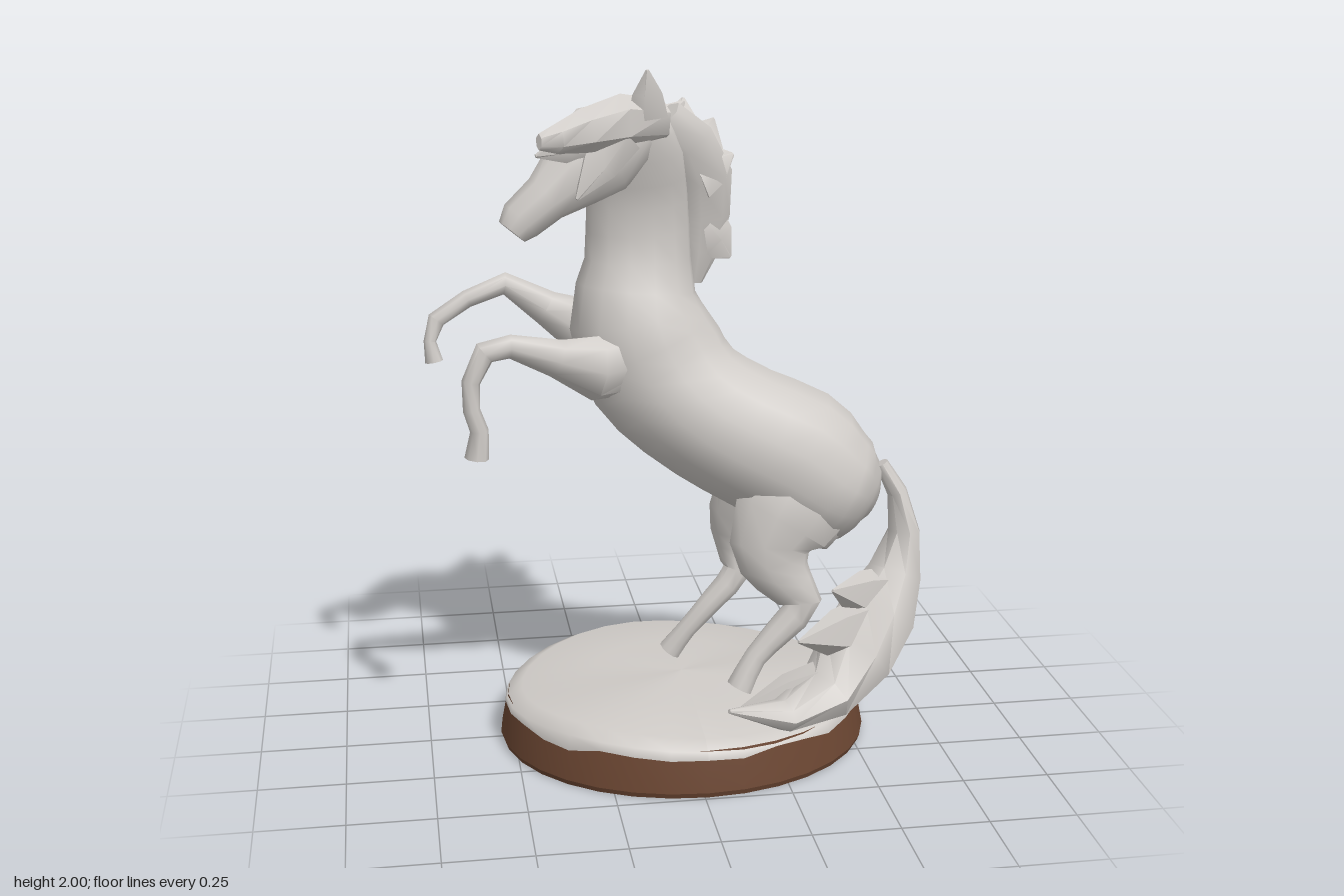
import * as THREE from 'three';
import { toCreasedNormals } from 'three/addons/utils/BufferGeometryUtils.js';

const stone = new THREE.MeshStandardMaterial({ color: 0xcfcbc7 });
stone.name = 'pale stone';
const earth = new THREE.MeshStandardMaterial({ color: 0x6b4632 });
earth.name = 'brown earth';

// Skin elliptical sections [x, y, z, profile radius, side radius] along a path
function loft(sections, sides, steps = 1) {
  const centres = new THREE.CatmullRomCurve3(sections.map((s) => new THREE.Vector3(s[0], s[1], s[2])));
  const radii = new THREE.CatmullRomCurve3(sections.map((s) => new THREE.Vector3(s[3], s[4] ?? s[3], 0)));
  const rings = (sections.length - 1) * steps;
  const pos = [], index = [];
  for (let i = 0; i <= rings; i++) {
    const c = centres.getPoint(i / rings), r = radii.getPoint(i / rings);
    const t = centres.getTangent(i / rings);
    const side = new THREE.Vector3(0, 0, 1).addScaledVector(t, -t.z).normalize();
    const up = side.clone().cross(t);
    for (let k = 0; k < sides; k++) {
      const a = (k / sides) * Math.PI * 2;
      const p = c.clone().addScaledVector(up, r.x * Math.cos(a)).addScaledVector(side, r.y * Math.sin(a));
      pos.push(p.x, p.y, p.z);
    }
  }
  const first = sections[0], last = sections[sections.length - 1];
  const capA = pos.length / 3, capB = capA + 1;
  pos.push(first[0], first[1], first[2], last[0], last[1], last[2]);
  for (let k = 0; k < sides; k++) {
    const n = (k + 1) % sides, end = rings * sides;
    for (let i = 0; i < rings; i++) {
      const p = i * sides, q = p + sides;
      index.push(p + k, p + n, q + k, p + n, q + n, q + k);
    }
    index.push(capA, n, k, capB, end + k, end + n);
  }
  const geo = new THREE.BufferGeometry();
  geo.setAttribute('position', new THREE.Float32BufferAttribute(pos, 3));
  geo.setIndex(index);
  geo.computeVertexNormals();
  return geo;
}

export function createModel() {
  const model = new THREE.Group();
  const add = (name, geo, mat = stone) => {
    const mesh = new THREE.Mesh(geo, mat);
    mesh.name = name;
    model.add(mesh);
    return mesh;
  };
  const faceted = (sections, sides) => toCreasedNormals(loft(sections, sides), 0.9);
  // Pointed lock of hair from a root to a tip
  const lock = (name, root, tip, a, b) => {
    const mid = root.map((v, i) => v * 0.5 + tip[i] * 0.5);
    add(name, faceted([[...root, a, b], [...mid, a * 0.75, b * 0.75], [...tip, 0.005, 0.004]], 5));
  };

  // Oval plinth with a ragged snow-like cap
  const profile = (pts) => new THREE.LatheGeometry(pts.map((p) => new THREE.Vector2(...p)), 32);
  const plinth = add('plinth', profile([[0, 0.005], [0.99, 0], [1, 0.015], [0.965, 0.115], [0.955, 0.135]]), earth);
  plinth.geometry = toCreasedNormals(plinth.geometry, 0.6);
  const cap = profile([[0.974, 0.112], [0.965, 0.137], [0.88, 0.16], [0.5, 0.175], [0, 0.18]]);
  const cp = cap.attributes.position;
  for (let i = 0; i < cp.count; i++) {
    const x = cp.getX(i), z = cp.getZ(i), y = cp.getY(i), a = Math.atan2(z, x);
    const wave = y < 0.115 ? 0.008 * Math.sin(a * 7) + 0.006 * Math.sin(a * 12 + 1)
      : 0.012 * Math.sin(a * 3 + 1) * Math.hypot(x, z);
    cp.setY(i, y + wave);
  }
  cap.computeVertexNormals();
  const ground = add('plinthTop', cap);
  for (const m of [plinth, ground]) {
    m.scale.set(0.55, 1, 0.495);
    m.position.x = 0.01;
  }

  // Trunk and neck
  add('bodyAndNeck', loft([
    [0.575, 0.7, 0.045, 0.05, 0.06], [0.548, 0.715, 0.04, 0.115, 0.125], [0.5, 0.738, 0.035, 0.165, 0.175],
    [0.425, 0.78, 0.035, 0.195, 0.2], [0.325, 0.855, 0.03, 0.215, 0.205], [0.17, 0.935, 0.02, 0.205, 0.2],
    [0.03, 1.025, 0, 0.2, 0.195], [-0.06, 1.13, -0.02, 0.212, 0.185], [-0.12, 1.28, -0.025, 0.195, 0.17],
    [-0.112, 1.45, -0.03, 0.155, 0.11], [-0.115, 1.62, -0.005, 0.147, 0.08], [-0.12, 1.76, 0.045, 0.13, 0.07],
    [-0.13, 1.87, 0.085, 0.08, 0.05],
  ], 14, 2));

  // Head, turned slightly aside
  add('head', toCreasedNormals(loft([
    [-0.12, 1.83, 0.07, 0.09, 0.06], [-0.23, 1.78, 0.095, 0.13, 0.07], [-0.31, 1.72, 0.12, 0.105, 0.068],
    [-0.39, 1.655, 0.14, 0.07, 0.052], [-0.46, 1.6, 0.16, 0.062, 0.047], [-0.485, 1.57, 0.165, 0.045, 0.037],
  ], 10), 0.9));
  lock('leftEar', [-0.1, 1.87, 0.13], [-0.11, 2.0, 0.16], 0.06, 0.03);
  lock('rightEar', [-0.07, 1.82, 0.04], [0.02, 1.89, -0.03], 0.05, 0.03);

  // Forelock blown to one side
  add('forelock', faceted([
    [-0.06, 1.85, 0.08, 0.06, 0.05], [-0.18, 1.86, 0.135, 0.075, 0.055], [-0.29, 1.845, 0.2, 0.06, 0.05],
    [-0.37, 1.835, 0.27, 0.04, 0.03], [-0.42, 1.835, 0.32, 0.022, 0.01],
  ], 6));
  lock('forelockTip', [-0.24, 1.82, 0.15], [-0.42, 1.78, 0.2], 0.065, 0.03);
  lock('cheekLock', [-0.19, 1.83, 0.14], [-0.31, 1.66, 0.2], 0.075, 0.04);

  // Mane and its flying locks
  add('mane', faceted([
    [-0.06, 1.85, 0.05, 0.07, 0.04], [0.01, 1.77, 0.015, 0.095, 0.05], [0.055, 1.67, -0.02, 0.105, 0.05],
    [0.065, 1.56, -0.04, 0.09, 0.045], [0.06, 1.46, -0.045, 0.065, 0.04], [0.05, 1.37, -0.04, 0.025, 0.02],
  ], 8));
  for (const [root, tip] of [
    [[0, 1.75, 0], [0.03, 1.89, -0.11]], [[0.05, 1.72, -0.02], [0.13, 1.82, -0.18]],
    [[0.06, 1.68, -0.02], [0.17, 1.68, -0.13]], [[0.05, 1.69, 0], [0.16, 1.74, -0.02]],
    [[0.07, 1.52, -0.04], [0.155, 1.44, -0.03]],
  ]) lock('maneLock', root, tip, 0.09, 0.045);

  // Raised forelegs
  add('farForeleg', faceted([
    [-0.1, 1.22, -0.06, 0.12, 0.09], [-0.27, 1.235, -0.095, 0.085, 0.075], [-0.37, 1.29, -0.12, 0.052, 0.05],
    [-0.49, 1.365, -0.125, 0.033, 0.037], [-0.6, 1.325, -0.115, 0.026], [-0.69, 1.27, -0.1, 0.026],
    [-0.71, 1.21, -0.09, 0.018], [-0.7, 1.15, -0.085, 0.026],
  ], 8));
  add('nearForeleg', faceted([
    [-0.08, 1.17, 0.04, 0.1, 0.06], [-0.25, 1.16, 0.1, 0.095, 0.065], [-0.37, 1.21, 0.16, 0.055, 0.047],
    [-0.5, 1.255, 0.19, 0.034], [-0.57, 1.24, 0.19, 0.034], [-0.61, 1.16, 0.2, 0.026],
    [-0.61, 1.08, 0.2, 0.024], [-0.59, 1.02, 0.2, 0.026], [-0.6, 0.94, 0.2, 0.034],
  ], 8));

  // Crouched hind legs with thighs rooted inside the rump
  const hindLeg = (name, sections) => add(name, toCreasedNormals(loft(sections, 10, 2), 0.9));
  hindLeg('farHindLeg', [
    [0.4, 0.87, -0.03, 0.12, 0.08], [0.31, 0.75, -0.08, 0.17, 0.105], [0.22, 0.62, -0.12, 0.115, 0.075],
    [0.2, 0.52, -0.13, 0.065, 0.05], [0.2, 0.45, -0.115, 0.045, 0.042], [0.12, 0.36, -0.1, 0.036],
    [0.04, 0.27, -0.1, 0.03], [-0.01, 0.2, -0.11, 0.036],
  ]);
  hindLeg('nearHindLeg', [
    [0.42, 0.87, 0.08, 0.12, 0.08], [0.33, 0.75, 0.125, 0.18, 0.1], [0.255, 0.62, 0.155, 0.13, 0.07],
    [0.28, 0.53, 0.165, 0.085, 0.055], [0.345, 0.45, 0.17, 0.055, 0.045], [0.27, 0.36, 0.18, 0.042],
    [0.2, 0.29, 0.19, 0.034], [0.15, 0.2, 0.2, 0.04],
  ]);

  // Sweeping tail with loose locks
  add('tail', faceted([
    [0.595, 0.83, 0.07, 0.02], [0.645, 0.74, 0.07, 0.03, 0.04], [0.667, 0.62, 0.08, 0.048, 0.07],
    [0.635, 0.5, 0.11, 0.085, 0.09], [0.575, 0.39, 0.15, 0.125, 0.115], [0.49, 0.28, 0.21, 0.12, 0.12],
    [0.38, 0.2, 0.3, 0.075, 0.1], [0.24, 0.19, 0.39, 0.045, 0.06], [0.07, 0.25, 0.47, 0.006],
  ], 8));
  for (const [root, tip] of [
    [[0.6, 0.43, 0.13], [0.41, 0.51, 0.26]], [[0.55, 0.36, 0.17], [0.29, 0.4, 0.36]],
    [[0.57, 0.36, 0.11], [0.53, 0.12, 0.12]], [[0.42, 0.21, 0.26], [0.14, 0.17, 0.28]],
  ]) lock('tailLock', root, tip, 0.1, 0.07);

  return model;
}
